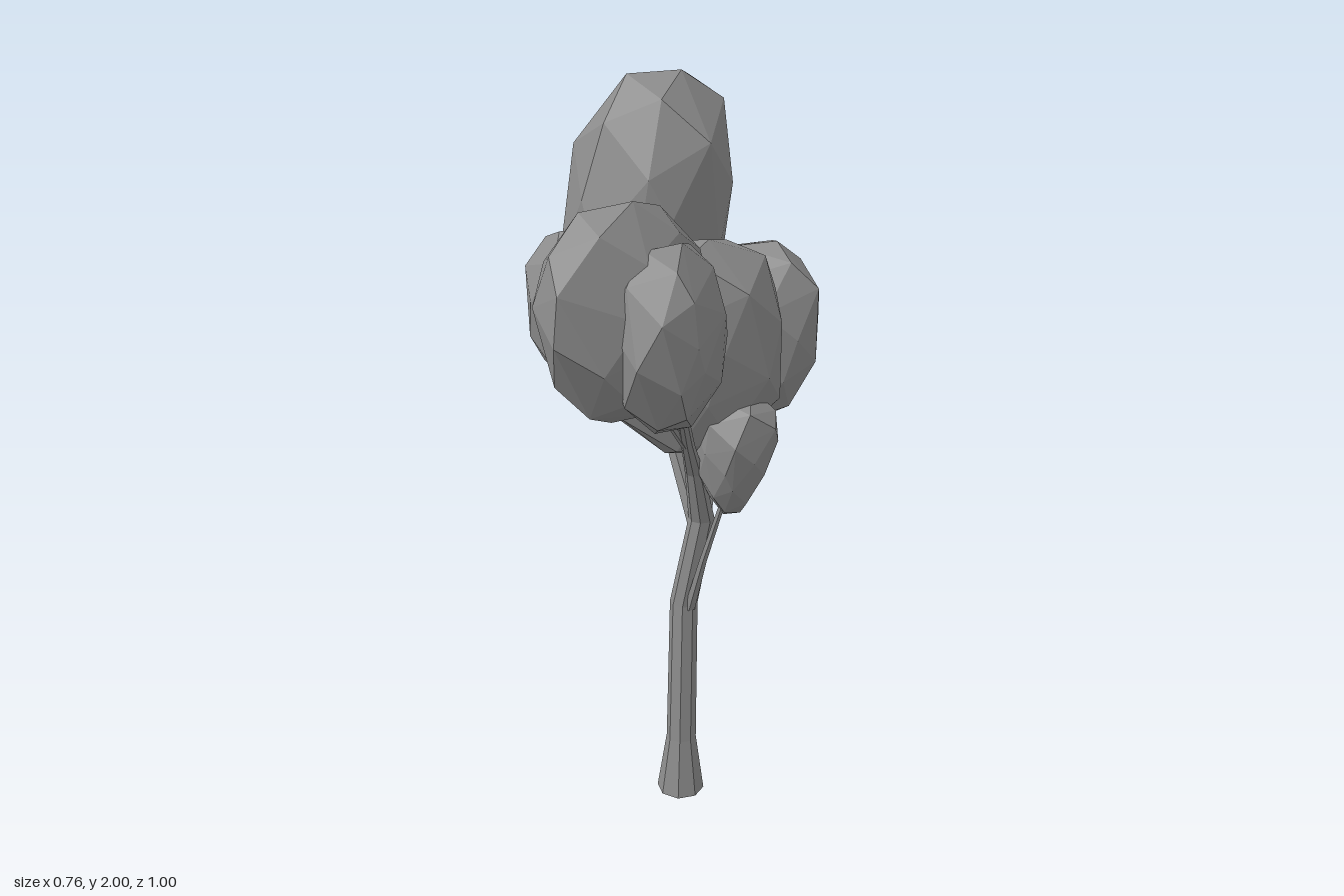
import * as THREE from 'three';
import { ConvexGeometry } from 'three/addons/geometries/ConvexGeometry.js';

const barkMat = new THREE.MeshStandardMaterial({ color: 0x8c8c8c, flatShading: true, side: THREE.DoubleSide });
const leafMat = new THREE.MeshStandardMaterial({ color: 0x8c8c8c, flatShading: true });

function seeded(seed) {
  let s = seed * 7919 + 17;
  return () => (s = (s * 16807) % 2147483647) / 2147483647;
}

// Tapered limb: horizontal rings joined along stations [x, y, z, radius]
function limb(name, stations, sides) {
  const pos = [], index = [];
  stations.forEach(([x, y, z, r], i) => {
    for (let j = 0; j < sides; j++) {
      const a = j / sides * Math.PI * 2;
      pos.push(x + r * Math.sin(a), y, z + r * Math.cos(a));
      if (i === 0) continue;
      const k = (j + 1) % sides, lo = (i - 1) * sides, hi = i * sides;
      index.push(lo + j, lo + k, hi + k, lo + j, hi + k, hi + j);
    }
  });
  const geo = new THREE.BufferGeometry();
  geo.setAttribute('position', new THREE.Float32BufferAttribute(pos, 3));
  geo.setIndex(index);
  geo.computeVertexNormals();
  const mesh = new THREE.Mesh(geo, barkMat);
  mesh.name = name;
  return mesh;
}

// Faceted leaf clump: hull of an irregular ball fitted to a box.
// blunt squares its ends, taper widens its top, xy / xz / zy slant it (xy: x grows with y).
function clump(name, min, max, seed, { blunt = 2.2, taper = 0, xy = 0, xz = 0, zy = 0 } = {}) {
  const rnd = seeded(seed), n = 36, pts = [];
  for (let i = 0; i < n; i++) {
    const y = 1 - 2 * (i + 0.5) / n, a = i * 2.39996 + rnd() * 0.5;
    const r = Math.sqrt(1 - y * y);
    const swell = (r ** blunt + Math.abs(y) ** blunt) ** (-1 / blunt);
    const p = new THREE.Vector3(r * Math.cos(a), y, r * Math.sin(a)).multiplyScalar(swell * (0.96 + rnd() * 0.06));
    const width = 1 + taper * p.y;
    p.z = width * p.z + zy * p.y;
    p.x = width * p.x + xy * p.y + xz * p.z;
    pts.push(p);
  }
  const from = new THREE.Box3().setFromPoints(pts);
  const size = from.getSize(new THREE.Vector3());
  const lo = new THREE.Vector3(...min), span = new THREE.Vector3(...max).sub(lo);
  pts.forEach(p => p.sub(from.min).divide(size).multiply(span).add(lo));
  const mesh = new THREE.Mesh(new ConvexGeometry(pts), leafMat);
  mesh.name = name;
  return mesh;
}

export function createModel() {
  const tree = new THREE.Group();
  tree.name = 'tree';

  // Trunk, flared at the foot, bent, then sweeping forward into the front clumps
  tree.add(limb('trunk', [
    [0.035, 0, 0.05, 0.067], [0.036, 0.17, 0.043, 0.042], [0.037, 0.58, -0.006, 0.039],
    [0.085, 0.84, -0.008, 0.036], [0.07, 1.0, 0.05, 0.026], [0.06, 1.12, 0.14, 0.018], [0.05, 1.35, 0.32, 0.012],
  ], 8));

  // Branches reaching into the clumps
  const branches = {
    tallBranch: [[0.075, 0.82, -0.015, 0.03], [-0.02, 1.08, -0.12, 0.022], [-0.08, 1.37, -0.23, 0.016]],
    backLeftBranch: [[0.09, 0.83, -0.02, 0.02], [0.12, 1.05, -0.14, 0.014], [0.16, 1.2, -0.24, 0.01]],
    rightBranch: [[-0.01, 1.05, -0.1, 0.014], [-0.17, 1.35, -0.02, 0.01]],
    frontRightBranch: [[0.06, 1.1, 0.13, 0.013], [0.01, 1.22, 0.21, 0.01], [-0.06, 1.38, 0.28, 0.008]],
    lowBranch: [[0.055, 0.57, 0.015, 0.016], [0.095, 0.74, 0.05, 0.011], [0.155, 0.95, 0.07, 0.008]],
  };
  for (const [name, path] of Object.entries(branches)) tree.add(limb(name, path, 5));

  // Foliage
  tree.add(
    clump('tallClump', [-0.32, 1.24, -0.5], [0.14, 2, -0.03], 4, { blunt: 2.9, xy: 0.16, zy: -0.18 }),
    clump('backLeftClump', [-0.02, 1.02, -0.46], [0.38, 1.55, -0.13], 6, { blunt: 2.3, xy: 0.15, xz: 0.25 }),
    clump('rightClump', [-0.385, 1.21, -0.18], [-0.05, 1.65, 0.15], 8, { blunt: 2.4 }),
    clump('centreClump', [-0.2, 1.04, -0.16], [0.29, 1.63, 0.16], 11, { blunt: 2.9, xz: -0.2 }),
    clump('lowClump', [0.07, 0.88, -0.08], [0.29, 1.22, 0.16], 14, { blunt: 2.4, taper: 0.32, xy: 0.1 }),
    clump('frontRightClump', [-0.28, 1.24, 0.05], [0.12, 1.79, 0.5], 18, { blunt: 2.0, xz: -0.6, xy: -0.1 }),
    clump('frontClump', [-0.115, 1.22, 0.11], [0.165, 1.7, 0.49], 21, { xz: -0.15 }),
  );
  return tree;
}
